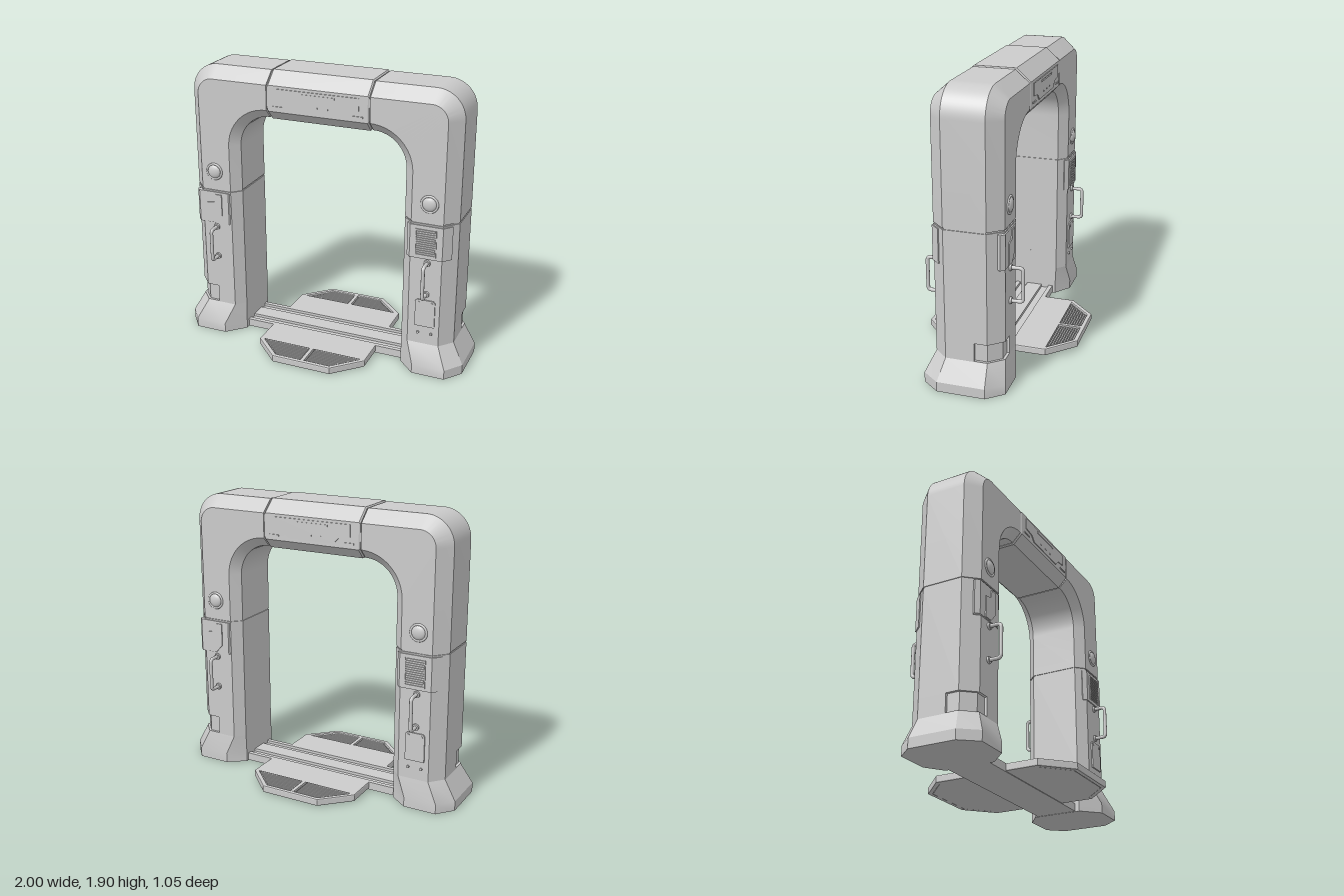
import * as THREE from 'three';
import { toCreasedNormals } from 'three/addons/utils/BufferGeometryUtils.js';

const mat = new THREE.MeshStandardMaterial({ color: 0xcccccc });

function add(parent, name, geo, x = 0, y = 0, z = 0) {
  const m = new THREE.Mesh(geo, mat);
  m.name = name;
  m.position.set(x, y, z);
  parent.add(m);
  return m;
}
const box = (w, h, d) => new THREE.BoxGeometry(w, h, d);

// Skin through matching loops of points, closed at both ends
function loft(loops) {
  const n = loops[0].length, idx = [];
  for (let r = 0; r < loops.length - 1; r++) {
    for (let i = 0; i < n; i++) {
      const a = r * n + i, b = r * n + (i + 1) % n;
      idx.push(a, a + n, b + n, a, b + n, b);
    }
  }
  const e = (loops.length - 1) * n;
  for (let i = 1; i < n - 1; i++) idx.push(0, i, i + 1, e, e + i + 1, e + i);
  const g = new THREE.BufferGeometry();
  g.setAttribute('position', new THREE.Float32BufferAttribute(loops.flat(2), 3));
  g.setIndex(idx);
  return toCreasedNormals(g, 0.5);
}

// Upright prism from an outline of [x, z] points
function prism(pts, y0, y1, hole, bevel = 0) {
  const vec = (list) => list.map(([x, z]) => new THREE.Vector2(x, -z));
  const s = new THREE.Shape(vec(pts));
  if (hole) s.holes.push(new THREE.Path(vec(hole)));
  const g = new THREE.ExtrudeGeometry(s, {
    depth: y1 - y0 - 2 * bevel, bevelEnabled: bevel > 0, bevelSize: bevel,
    bevelThickness: bevel, bevelOffset: -bevel, bevelSegments: 2,
  });
  return g.rotateX(-Math.PI / 2).translate(0, y0 + bevel, 0);
}

// Flat plate from an outline of [x, y] points, facing +z
function plate(pts, depth) {
  const s = new THREE.Shape(pts.map(([x, y]) => new THREE.Vector2(x, y)));
  return new THREE.ExtrudeGeometry(s, { depth, bevelEnabled: false });
}

// Eight-sided section from outer, outer shoulder, inner shoulder and inner points
function section(o, os, is, i, k = 1) {
  const half = [[o, 0.135], [os, 0.225], [is, 0.225], [i, 0.165]];
  const front = half.map(([p, z]) => [p[0], p[1], z * k]);
  const back = half.map(([p, z]) => [p[0], p[1], -z * k]).reverse();
  return [...front, ...back];
}
const columnLoop = (y) => section([0.925, y], [0.845, y], [0.635, y], [0.575, y]);
const outline = columnLoop(0).map(([x, , z]) => [x, z]);
const shrink = (f) => outline.map(([x, z]) => [0.75 + (x - 0.75) * f, z * f]);

function archShoulder() {
  const loops = [columnLoop(1.055)];
  for (let k = 0; k <= 16; k++) {
    const t = k / 16 * Math.PI / 2, c = Math.cos(t), s = Math.sin(t);
    const out = (r) => [0.74 + r * c, 1.71 + r * s];
    const inn = (r) => [0.355 + r * c, 1.37 + r * s];
    loops.push(section(out(0.185), out(0.105), inn(0.28), inn(0.22)));
  }
  loops.push(section([0.352, 1.895], [0.352, 1.815], [0.352, 1.65], [0.352, 1.59]));
  return loft(loops);
}

function base(mirror) {
  const flare = (y) => [
    [1, y, 0.17], [0.91, y, 0.285], [0.69, y, 0.285], [0.575, y, 0.17],
    [0.575, y, -0.16], [0.69, y, -0.245], [0.91, y, -0.245], [1, y, -0.14]];
  let loops = [flare(0), flare(0.065), columnLoop(0.2)];
  if (mirror) loops = loops.map((l) => l.map(([x, y, z]) => [-x, y, z]).reverse());
  return loft(loops);
}

function handle(parent) {
  const v = (y, z) => new THREE.Vector3(0, y, z);
  const path = new THREE.CurvePath();
  const corner = (a, b, c) => path.add(new THREE.QuadraticBezierCurve3(a, b, c));
  const line = (a, b) => path.add(new THREE.LineCurve3(a, b));
  line(v(0.56, 0.21), v(0.56, 0.285));
  corner(v(0.56, 0.285), v(0.56, 0.308), v(0.583, 0.308));
  line(v(0.583, 0.308), v(0.757, 0.308));
  corner(v(0.757, 0.308), v(0.78, 0.308), v(0.78, 0.285));
  line(v(0.78, 0.285), v(0.78, 0.21));
  add(parent, 'handle', new THREE.TubeGeometry(path, 60, 0.012, 10), 0.75);
  for (const y of [0.56, 0.78]) {
    add(parent, 'handleFoot', new THREE.CylinderGeometry(0.021, 0.023, 0.014, 16).rotateX(Math.PI / 2), 0.75, y, 0.23);
  }
}

// Lamp, wrapped panel and handle shared by both faces of a column
function faceFittings(parent) {
  add(parent, 'lampRing', new THREE.TorusGeometry(0.052, 0.008, 8, 32), 0.75, 1.18, 0.225);
  const dome = add(parent, 'lamp', new THREE.SphereGeometry(0.047, 24, 16), 0.75, 1.18, 0.225);
  dome.scale.z = 0.45;
  add(parent, 'wrapPanel', prism([[0.88, 0.165], [0.896, 0.178], [0.848, 0.233], [0.632, 0.233], [0.607, 0.208], [0.62, 0.19]], 0.81, 1.035));
  handle(parent);
}

function column() {
  const g = new THREE.Group();
  g.name = 'column';
  // Shaft with a recess cut round the outer back corner
  const cut = [...outline.slice(0, 6), [0.76, -0.225], [0.76, -0.208], [0.84, -0.208],
    [0.908, -0.131], [0.908, -0.05], [0.925, -0.05]];
  add(g, 'shaftFoot', prism(outline, 0.2, 0.205));
  add(g, 'shaftRecess', prism(cut, 0.205, 0.325));
  add(g, 'shaft', prism(outline, 0.325, 1.045));
  add(g, 'seam', prism(shrink(0.97), 1.03, 1.07));
  add(g, 'archShoulder', archShoulder());

  // Front face: vent and service cover
  const front = new THREE.Group();
  front.name = 'frontFace';
  faceFittings(front);
  for (let i = 0; i < 13; i++) add(front, 'ventSlat', box(0.124, 0.007, 0.012), 0.738, 0.836 + i * 0.0142, 0.234);
  for (const x of [0.672, 0.804]) add(front, 'ventEdge', box(0.006, 0.182, 0.014), x, 0.921, 0.233);
  add(front, 'serviceCover', plate([[0.683, 0.33], [0.815, 0.33], [0.815, 0.508], [0.803, 0.52], [0.695, 0.52], [0.683, 0.508]], 0.012), 0, 0, 0.222);
  const screw = new THREE.CylinderGeometry(0.009, 0.009, 0.012, 10).rotateX(Math.PI / 2);
  for (const x of [0.705, 0.795]) {
    add(front, 'coverScrew', screw, x, 0.5, 0.232);
    add(front, 'bolt', screw, x, 0.28, 0.23);
  }
  g.add(front);

  // Back face: stepped hatch
  const back = new THREE.Group();
  back.name = 'backFace';
  faceFittings(back);
  const hatch = [[0.70, 1.02], [0.745, 1.02], [0.755, 0.965], [0.81, 0.955], [0.81, 0.815], [0.75, 0.815], [0.70, 0.87]];
  add(back, 'hatch', plate(hatch.map(([x, y]) => [1.5 - x, y]), 0.012), 0, 0, 0.228);
  back.rotation.y = Math.PI;
  back.position.x = 1.5;
  g.add(back);
  return g;
}

function beamCentre(root) {
  const at = (x, d) => section([x, 1.9 - d], [x, 1.818 - d], [x, 1.648 + d], [x, 1.584 + d], 1.01 - d * 3);
  add(root, 'beamCentre', loft([at(0.344, 0.008), at(0.336, 0), at(-0.336, 0), at(-0.344, 0.008)]));
  add(root, 'beamSeam', loft([at(0.37, 0.016), at(-0.37, 0.016)]));
  for (const turn of [0, Math.PI]) {
    const g = new THREE.Group();
    g.name = 'beamCover';
    add(g, 'cover', plate([[-0.28, 1.80], [-0.28, 1.72], [-0.2, 1.71], [-0.165, 1.672], [0.165, 1.672], [0.2, 1.71], [0.28, 1.72], [0.28, 1.80]], 0.009), 0, 0, 0.224);
    add(g, 'coverSlot', box(0.24, 0.012, 0.01), 0, 1.778, 0.231);
    for (const x of [-0.07, 0, 0.07]) add(g, 'coverStud', box(0.012, 0.008, 0.01), x, 1.705, 0.231);
    for (const x of [-0.27, 0.27]) add(g, 'coverClip', box(0.07, 0.01, 0.014), x, 1.68, 0.226);
    g.rotation.y = turn;
    root.add(g);
  }
}

// Half-octagon foot plate with a slatted tread
function footPlate() {
  const g = new THREE.Group();
  g.name = 'footPlate';
  const rim = [[-0.385, 0.13], [-0.385, 0.35], [-0.205, 0.525], [0.205, 0.525], [0.385, 0.35], [0.385, 0.13]];
  const well = [[-0.355, 0.145], [-0.355, 0.337], [-0.193, 0.495], [0.193, 0.495], [0.355, 0.337], [0.355, 0.145]];
  add(g, 'plateRim', prism(rim, 0.006, 0.055, well, 0.008));
  add(g, 'plateFloor', prism(well, 0.008, 0.03));
  add(g, 'plateDivider', box(0.024, 0.025, 0.36), 0, 0.04, 0.32);
  for (let z = 0.158; z < 0.49; z += 0.0165) {
    const w = Math.min(0.345, 0.345 - (z - 0.337) * 1.025) - 0.02;
    for (const s of [-1, 1]) add(g, 'treadSlat', box(w, 0.018, 0.009), s * (0.02 + w / 2), 0.037, z);
  }
  return g;
}

export function createModel() {
  const root = new THREE.Group();
  root.name = 'gateArch';
  for (const turn of [0, Math.PI]) {
    const col = column(), foot = footPlate();
    col.rotation.y = foot.rotation.y = turn;
    root.add(col, foot);
    add(root, 'columnBase', base(turn > 0));
  }
  beamCentre(root);
  // Ground strip between the columns
  add(root, 'strip', box(1.18, 0.034, 0.28), 0, 0.019, 0);
  add(root, 'stripRidge', box(1.18, 0.02, 0.11), 0, 0.045, 0);
  for (const z of [-0.125, 0.125]) add(root, 'stripEdge', box(1.18, 0.02, 0.03), 0, 0.045, z);
  return root;
}
